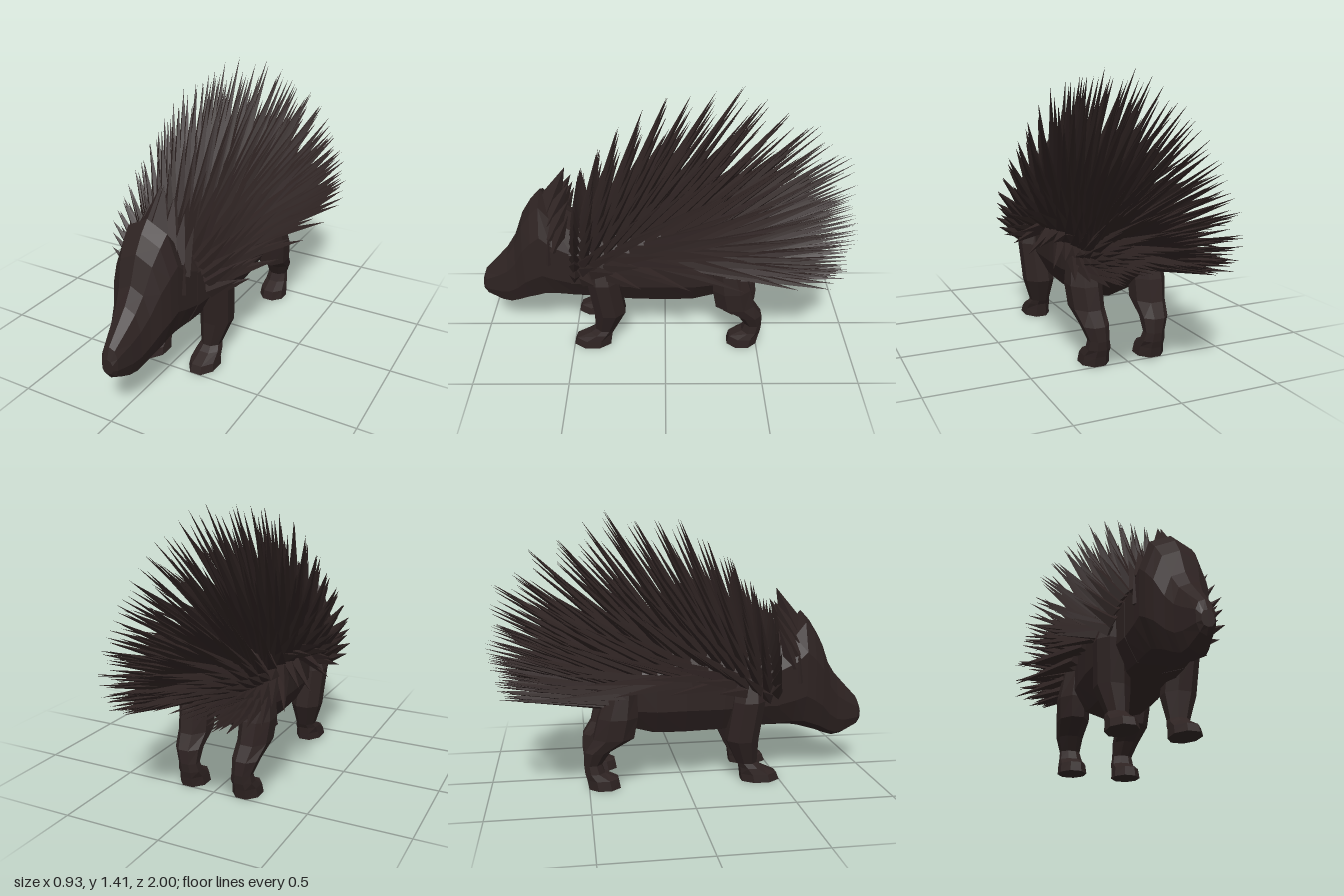
import * as THREE from 'three';
import { mergeGeometries } from 'three/addons/utils/BufferGeometryUtils.js';

const darkBrown = new THREE.MeshStandardMaterial({ color: 0x2e2322, flatShading: true });
darkBrown.name = 'darkBrown';

// Skin a list of rings (arrays of [x, y, z]) and close both ends
function loft(rings) {
  const n = rings[0].length, index = [];
  for (let i = 0; i < rings.length - 1; i++) {
    for (let j = 0; j < n; j++) {
      const k = (j + 1) % n, a = i * n + j, b = i * n + k;
      index.push(a, a + n, b, b, a + n, b + n);
    }
  }
  const last = (rings.length - 1) * n;
  for (let j = 1; j < n - 1; j++) {
    index.push(0, j, j + 1, last, last + j + 1, last + j);
  }
  const g = new THREE.BufferGeometry();
  g.setAttribute('position', new THREE.Float32BufferAttribute(rings.flat(2), 3));
  g.setIndex(index);
  g.computeVertexNormals();
  return g;
}

const soft = (v) => Math.sign(v) * Math.abs(v) ** 0.85;

// Sections along z, front to back: [z, bottom, top, half width]
function trunk(sections) {
  return loft(sections.map(([z, lo, hi, w]) => Array.from({ length: 10 }, (_, j) => {
    const a = Math.PI / 2 + j * Math.PI / 5;
    return [w * soft(Math.cos(a)), (lo + hi) / 2 + (hi - lo) / 2 * soft(Math.sin(a)), z];
  })));
}

// Sections upwards: [y, back z, front z, inner x, outer x]
function limb(sections, side) {
  const r = 1 / Math.cos(Math.PI / 8);
  return loft(sections.map(([y, z0, z1, x0, x1]) => Array.from({ length: 8 }, (_, j) => {
    const a = (j + 0.5) * Math.PI / 4;
    return [side * (x0 + x1) / 2 + (x1 - x0) / 2 * r * Math.cos(a), y,
      (z0 + z1) / 2 + (z1 - z0) / 2 * r * Math.sin(a)];
  })));
}

// Four-sided spike from base to tip
const up = new THREE.Vector3(0, 1, 0);
function spike(base, tip, radius, flat = 1) {
  const d = tip.clone().sub(base), len = d.length();
  const g = new THREE.ConeGeometry(radius, len, 4, 1);
  g.translate(0, len / 2, 0);
  g.scale(1, 1, flat);
  g.applyQuaternion(new THREE.Quaternion().setFromUnitVectors(up, d.normalize()));
  g.translate(base.x, base.y, base.z);
  return g;
}

// Coat rows: [base z, tip z, tip top y, tip half width, base top y, base low y]
const coat = [
  [0.47, 0.45, 0.96, 0.4, 0.71, 0.45],
  [0.38, 0.26, 1.18, 0.44, 0.73, 0.45],
  [0.25, 0.02, 1.36, 0.48, 0.76, 0.5],
  [0.12, -0.22, 1.4, 0.52, 0.78, 0.54],
  [-0.04, -0.45, 1.4, 0.51, 0.76, 0.55],
  [-0.2, -0.7, 1.25, 0.48, 0.72, 0.53],
  [-0.33, -0.91, 1.09, 0.45, 0.67, 0.48],
  [-0.39, -0.99, 0.92, 0.4, 0.62, 0.45],
  [-0.41, -1, 0.74, 0.33, 0.56, 0.44],
  [-0.41, -0.97, 0.58, 0.25, 0.5, 0.44],
];

function quills() {
  let seed = 7;
  const rand = () => (seed = (seed * 16807) % 2147483647) / 2147483647 - 0.5;
  const parts = [], rows = 18, cols = 9;
  for (let i = 0; i < rows; i++) {
    const t = i / (rows - 1) * (coat.length - 1), k = Math.min(Math.floor(t), coat.length - 2);
    const [zb, zt, top, w, bTop, bLow] = coat[k].map((v, c) => v + (coat[k + 1][c] - v) * (t - k));
    const rear = Math.max(0, t - 5) / 4;
    for (let j = 0; j < cols; j++) {
      const a = 0.08 + (j + (i % 2) * 0.45) / cols * 1.52 + (j ? rand() * 0.06 : 0);
      const s = Math.sin(a), c = Math.cos(a), grow = 0.99 + rand() * 0.1;
      const bw = 0.215 - 0.06 * rear;
      for (const side of [1, -1]) {
        const base = new THREE.Vector3(side * bw * s, bLow + (bTop - bLow) * c, zb);
        const x = w * s * (1 - 0.1 * s ** 10);
        const tip = new THREE.Vector3(side * x, 0.51 + (top - 0.51) * c,
          zt + 0.9 * x * x * Math.min(1, rear * 2));
        tip.sub(base).multiplyScalar(grow).add(base);
        tip.z = Math.max(tip.z, -1);
        parts.push(spike(base, tip, 0.038, 0.75));
      }
    }
  }
  return mergeGeometries(parts);
}

// Crest and ear tufts: [x, base y, base z, tip x, tip y, tip z, radius]
const tufts = [
  [0.02, 0.76, 0.62, 0.008, 1.0, 0.515, 0.075],
  [0.07, 0.72, 0.61, 0.045, 0.94, 0.49, 0.06],
  [0.11, 0.66, 0.6, 0.1, 0.87, 0.49, 0.055],
  [0.13, 0.6, 0.58, 0.15, 0.81, 0.49, 0.05],
  [0.14, 0.52, 0.61, 0.165, 0.68, 0.6, 0.035],
];

export function createModel() {
  const model = new THREE.Group();
  const add = (name, geometry) => {
    const mesh = new THREE.Mesh(geometry, darkBrown);
    mesh.name = name;
    model.add(mesh);
  };

  add('body', trunk([
    [0.5, 0.25, 0.73, 0.18], [0.35, 0.25, 0.74, 0.195], [0.2, 0.235, 0.76, 0.21],
    [0, 0.23, 0.78, 0.22], [-0.15, 0.235, 0.76, 0.215], [-0.28, 0.27, 0.71, 0.2],
    [-0.4, 0.37, 0.64, 0.16], [-0.45, 0.43, 0.56, 0.08],
  ]));

  add('head', trunk([
    [1, 0.26, 0.335, 0.03], [0.98, 0.23, 0.39, 0.045], [0.9, 0.185, 0.475, 0.07],
    [0.85, 0.175, 0.53, 0.085], [0.8, 0.19, 0.61, 0.105], [0.75, 0.21, 0.745, 0.135],
    [0.7, 0.225, 0.825, 0.155], [0.65, 0.24, 0.88, 0.165], [0.59, 0.25, 0.8, 0.17],
    [0.48, 0.25, 0.73, 0.18],
  ]));

  add('crest', mergeGeometries([1, -1].flatMap((s) => tufts.map(([x, y, z, tx, ty, tz, r]) =>
    spike(new THREE.Vector3(s * x, y, z), new THREE.Vector3(s * tx, ty, tz), r)))));

  for (const [side, label] of [[1, 'left'], [-1, 'right']]) {
    add(label + 'FrontLeg', limb([
      [0, 0.3, 0.5, 0.08, 0.22], [0.04, 0.295, 0.485, 0.085, 0.215], [0.075, 0.29, 0.41, 0.09, 0.21],
      [0.1, 0.275, 0.38, 0.1, 0.2], [0.23, 0.215, 0.38, 0.085, 0.245],
      [0.44, 0.245, 0.41, 0.1, 0.26], [0.56, 0.27, 0.4, 0.1, 0.22],
    ], side));
    add(label + 'BackLeg', limb([
      [0, -0.5, -0.34, 0.08, 0.22], [0.05, -0.51, -0.35, 0.085, 0.215], [0.085, -0.52, -0.42, 0.09, 0.205],
      [0.13, -0.525, -0.435, 0.1, 0.2], [0.2, -0.52, -0.39, 0.095, 0.225], [0.27, -0.475, -0.27, 0.09, 0.245],
      [0.38, -0.45, -0.25, 0.09, 0.255], [0.52, -0.4, -0.25, 0.09, 0.235],
    ], side));
  }

  add('quills', quills());
  return model;
}
